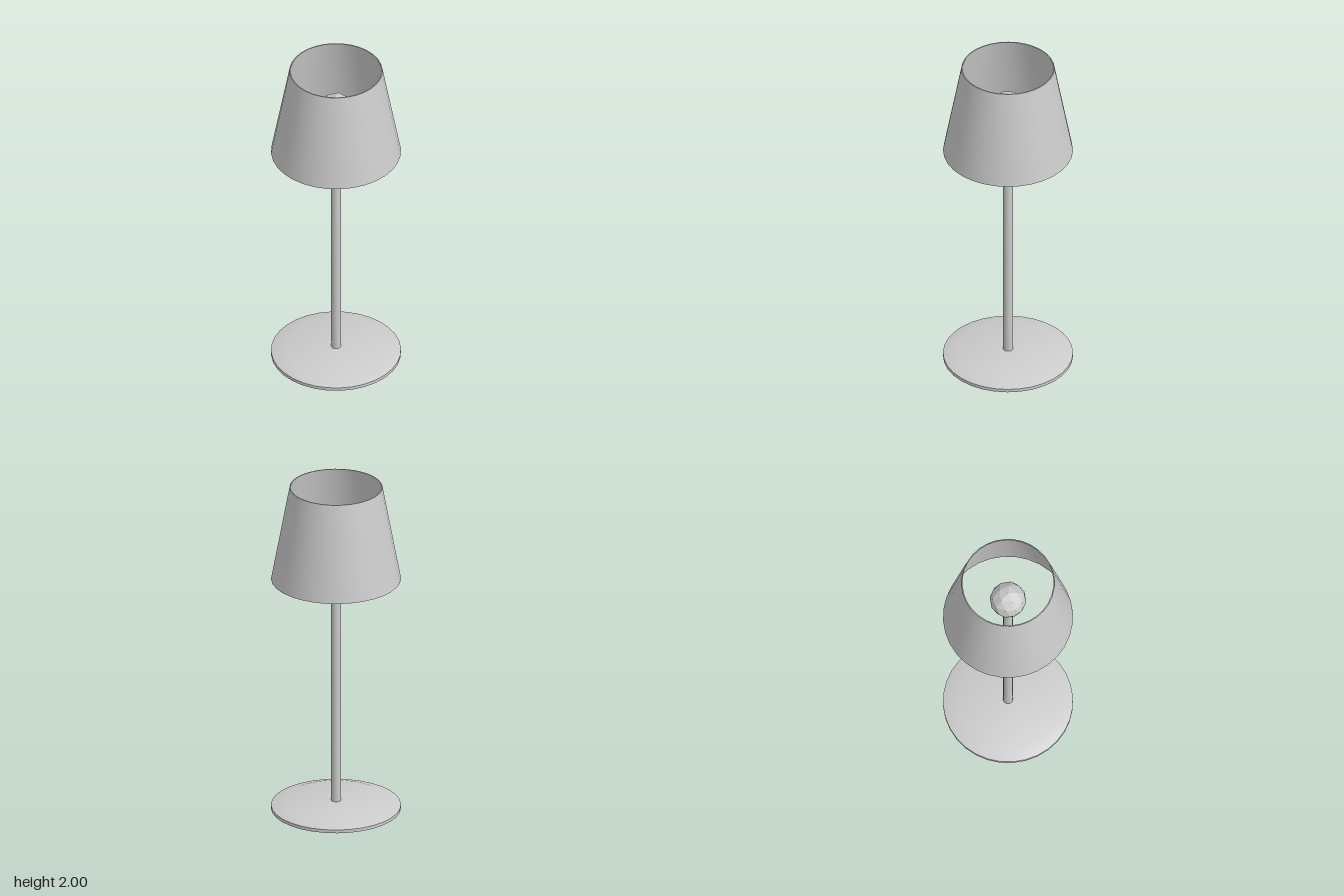
import * as THREE from 'three';
import { toCreasedNormals } from 'three/addons/utils/BufferGeometryUtils.js';

const smooth = new THREE.MeshStandardMaterial({ color: 0xcccccc });
const faceted = new THREE.MeshStandardMaterial({ color: 0xcccccc, flatShading: true });

// Turned part from [radius, height] pairs, outside listed from bottom to top
function turned(name, profile, sides, material = smooth) {
  const points = profile.map(([r, y]) => new THREE.Vector2(r, y));
  const geometry = toCreasedNormals(new THREE.LatheGeometry(points, sides), 0.4);
  const mesh = new THREE.Mesh(geometry, material);
  mesh.name = name;
  return mesh;
}

export function createModel() {
  const lamp = new THREE.Group();
  lamp.name = 'tableLamp';

  // Round foot with a bevelled upper edge
  lamp.add(turned('base', [[0, 0], [0.373, 0], [0.373, 0.02], [0.29, 0.048], [0, 0.048]], 32));

  // Slim pole
  lamp.add(turned('pole', [[0.028, 0.045], [0.028, 1.58]], 16));

  // Ribbed screw socket
  const socket = [[0, 1.55], [0.034, 1.55]];
  for (let i = 0; i < 3; i++) {
    const y = 1.555 + i * 0.02;
    socket.push([0.05, y + 0.005], [0.05, y + 0.012], [0.044, y + 0.018]);
  }
  socket.push([0, 1.615]);
  lamp.add(turned('socket', socket, 10, faceted));

  // Low-poly bulb: flared neck and faceted globe with one corner at the top
  const bulb = new THREE.Group();
  bulb.name = 'bulb';
  bulb.add(turned('bulbNeck', [[0.042, 1.61], [0.055, 1.622], [0.09, 1.665]], 10, faceted));
  const globeGeometry = new THREE.IcosahedronGeometry(0.106, 1);
  globeGeometry.rotateZ(Math.atan2(2, 1 + Math.sqrt(5)));
  const globe = new THREE.Mesh(globeGeometry, faceted);
  globe.name = 'bulbGlobe';
  globe.position.y = 1.715;
  bulb.add(globe);
  lamp.add(bulb);

  // Thin-walled tapered shade, open at both ends
  lamp.add(turned('shade', [
    [0.367, 1.43], [0.373, 1.43], [0.267, 2], [0.261, 2], [0.367, 1.43],
  ], 32));

  return lamp;
}
